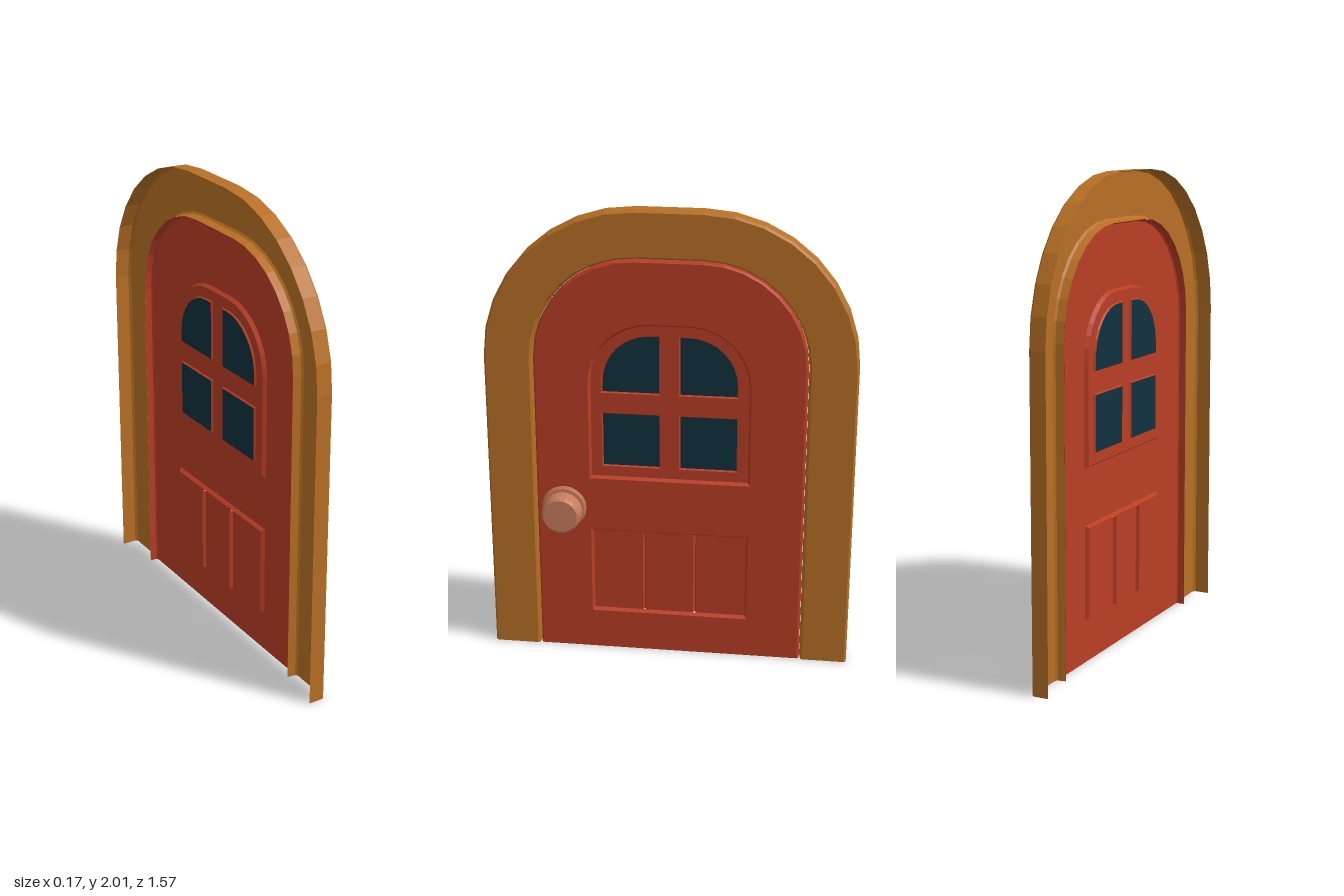
import * as THREE from 'three';

const mat = (name, color) => new THREE.MeshStandardMaterial({ name, color, flatShading: true, side: THREE.DoubleSide });

// Arch outline from lower left, over the top, to lower right
function arch(halfWidth, flat, springY, bottom, segs = 8) {
  const r = halfWidth - flat;
  const right = [];
  for (let i = 0; i <= segs; i++) {
    const a = (i / segs) * Math.PI / 2;
    right.push([flat + r * Math.sin(a), springY + r * Math.cos(a)]);
  }
  right.push([halfWidth, bottom]);
  return [...right.map(([x, y]) => [-x, y]).reverse(), ...right];
}

const rect = (x0, y0, x1, y1) => [[x0, y0], [x0, y1], [x1, y1], [x1, y0]];

// Window pane outline, inset by d; upper panes have a rounded outer corner
function pane(side, upper, d) {
  const x0 = 0.04 + d, x1 = 0.29 - d;
  let pts;
  if (upper) {
    pts = [[x0, 1.21 + d], [x0, 1.47 - d]];
    const r = 0.21 - d;
    for (let i = 0; i <= 8; i++) {
      const a = (i / 8) * Math.PI / 2;
      pts.push([0.08 + r * Math.sin(a), 1.26 + r * Math.cos(a)]);
    }
    pts.push([x1, 1.21 + d]);
  } else pts = rect(x0, 0.875 + d, x1, 1.12 - d);
  return side > 0 ? pts : pts.map(([x, y]) => [-x, y]).reverse();
}

// Faceted sheet through rows of 3D points
function sheet(rows, closed = false) {
  const v = [];
  for (let j = 0; j < rows.length - 1; j++) {
    const a = rows[j], b = rows[j + 1], n = a.length;
    for (let i = 0; i < (closed ? n : n - 1); i++) {
      const k = (i + 1) % n;
      v.push(...a[i], ...b[i], ...b[k], ...a[i], ...b[k], ...a[k]);
    }
  }
  const g = new THREE.BufferGeometry();
  g.setAttribute('position', new THREE.Float32BufferAttribute(v, 3));
  g.computeVertexNormals();
  return g;
}

const at = (pts, z) => pts.map(([x, y]) => [x, y, z]);
const vecs = (pts) => pts.map(([x, y]) => new THREE.Vector2(x, y));

// Flat plate with holes at depth z
function plate(outline, holes, z) {
  const s = new THREE.Shape(vecs(outline));
  s.holes = holes.map((h) => new THREE.Path(vecs(h)));
  return new THREE.ShapeGeometry(s).translate(0, 0, z);
}

export function createModel() {
  const wood = mat('ochre frame', 0xb87024);
  const red = mat('red door', 0xb93e24);
  const glass = mat('dark blue glass', 0x10313f);
  const copper = mat('copper', 0xc87c5c);

  // Built facing +z, then turned to face +x
  const door = new THREE.Group();
  door.name = 'door';
  door.rotation.y = Math.PI / 2;
  const add = (name, geo, material) => {
    const m = new THREE.Mesh(geo, material);
    m.name = name;
    door.add(m);
    return m;
  };

  const big = (hw, z) => at(arch(hw, 0.14, 1.36, 0), z);

  // Hollow surround, open at the back and the bottom
  add('doorFrame', sheet([
    big(0.785, -0.088), big(0.785, -0.024), big(0.776, -0.014),
    big(0.592, -0.014), big(0.584, -0.022), big(0.578, -0.056),
  ]), wood);

  // Door leaf with its turned-back edge
  add('doorEdge', sheet([big(0.577, -0.056), big(0.575, -0.026), big(0.568, -0.02)]), red);
  const windowOuter = arch(0.345, 0.08, 1.26, 0.82);
  const panelOuter = rect(-0.342, 0.18, 0.342, 0.58);
  add('doorFace', plate(arch(0.568, 0.14, 1.36, 0), [windowOuter, panelOuter], -0.02), red);

  // Recessed window frame
  const windowInner = arch(0.335, 0.08, 1.26, 0.83);
  add('windowRecess', sheet([at(windowOuter, -0.02), at(windowInner, -0.036)], true), red);
  const panes = [];
  for (const side of [-1, 1]) for (const upper of [false, true]) panes.push([side, upper]);
  add('windowFrame', plate(windowInner, panes.map(([s, u]) => pane(s, u, 0)), -0.036), red);
  for (const [s, u] of panes) {
    add('paneBevel', sheet([at(pane(s, u, 0), -0.036), at(pane(s, u, 0.005), -0.044)], true), red);
    add('windowPane', plate(pane(s, u, 0.005), [], -0.044), glass);
  }

  // Recessed lower panel: three planks with V grooves between
  const panelInner = rect(-0.332, 0.19, 0.332, 0.57);
  add('panelRecess', sheet([at(panelOuter, -0.02), at(panelInner, -0.036)], true), red);
  const profile = [[-0.332, -0.036]];
  for (const x of [-0.111, 0.111]) profile.push([x - 0.006, -0.036], [x, -0.05], [x + 0.006, -0.036]);
  profile.push([0.332, -0.036]);
  add('panelPlanks', sheet([0.57, 0.19].map((y) => profile.map(([x, z]) => [x, y, z]))), red);

  // Door knob with its round backplate
  const lathe = (pts) => new THREE.LatheGeometry(vecs(pts), 24).rotateX(Math.PI / 2);
  const knobParts = {
    knobPlate: [[0.097, -0.02], [0.097, -0.013], [0.088, -0.007], [0.05, -0.005]],
    knob: [[0.05, -0.006], [0.06, -0.002], [0.078, 0.004], [0.085, 0.018], [0.085, 0.062],
      [0.082, 0.076], [0.073, 0.086], [0, 0.087]],
  };
  for (const [name, pts] of Object.entries(knobParts)) {
    add(name, lathe(pts), copper).position.set(-0.457, 0.68, 0);
  }

  const model = new THREE.Group();
  model.name = 'archedDoor';
  model.add(door);
  return model;
}
